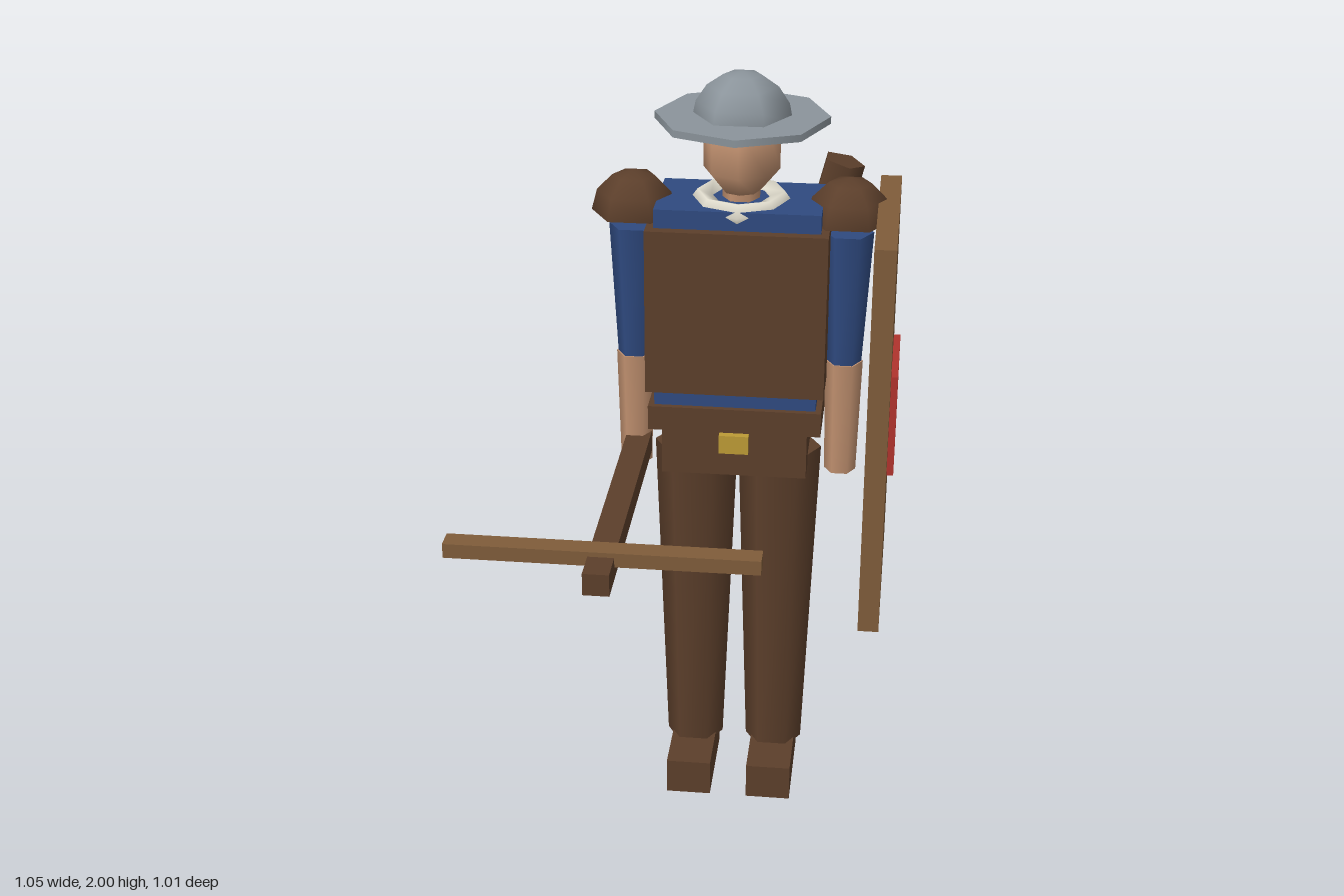
import * as THREE from 'three';

const mat = (name, color) => {
  const m = new THREE.MeshStandardMaterial({ color });
  m.name = name;
  return m;
};

export function createModel() {
  const leather = mat('brown leather', 0x5c3f2b);
  const wood = mat('light wood', 0x7f5c3a);
  const cloth = mat('blue cloth', 0x2f4a80);
  const skin = mat('skin', 0xc0906f);
  const steel = mat('steel', 0x8b949b);
  const linen = mat('linen', 0xe0dccd);
  const red = mat('red paint', 0xb0332d);
  const brass = mat('brass', 0xbc9a35);

  const model = new THREE.Group();
  model.name = 'crossbowSoldier';
  // The body stands off centre, so its parts hang from an offset group
  const body = new THREE.Group();
  body.name = 'body';
  body.position.set(0.113, 0, -0.28);
  model.add(body);

  const add = (parent, name, geometry, material, x, y, z) => {
    const mesh = new THREE.Mesh(geometry, material);
    mesh.name = name;
    mesh.position.set(x, y, z);
    parent.add(mesh);
    return mesh;
  };
  // Box given by its lower and upper limits
  const box = (parent, name, material, [x0, x1], [y0, y1], [z0, z1]) =>
    add(parent, name, new THREE.BoxGeometry(x1 - x0, y1 - y0, z1 - z0), material,
      (x0 + x1) / 2, (y0 + y1) / 2, (z0 + z1) / 2);
  // Upright tapered limb with corners pointing sideways
  const limb = (name, material, x, y0, y1, r0, r1, sides = 6) =>
    add(body, name, new THREE.CylinderGeometry(r1, r0, y1 - y0, sides, 1, false, Math.PI / 2),
      material, x, (y0 + y1) / 2, 0);
  const dome = (name, material, r, rings, x, y) =>
    add(body, name, new THREE.SphereGeometry(r, 6, rings, 0, Math.PI * 2, 0, Math.PI / 2),
      material, x, y, 0);
  const underside = (name, material, r, x, y) => {
    const disc = add(body, name, new THREE.CircleGeometry(r, 6), material, x, y, 0);
    disc.rotation.x = Math.PI / 2;
  };

  // Torso, vest and belt
  box(body, 'shirt', cloth, [-0.207, 0.207], [1.12, 1.68], [-0.12, 0.12]);
  box(body, 'vest', leather, [-0.227, 0.227], [1.2, 1.632], [-0.147, 0.147]);
  box(body, 'belt', leather, [-0.222, 0.222], [1.09, 1.155], [-0.135, 0.135]);
  box(body, 'hips', leather, [-0.187, 0.187], [0.965, 1.09], [-0.125, 0.125]);
  box(body, 'buckle', brass, [-0.038, 0.038], [1.035, 1.085], [0.1, 0.145]);

  // Collar, neck and head
  const collar = add(body, 'collar', new THREE.TorusGeometry(0.1, 0.032, 5, 8), linen, 0, 1.667, 0);
  collar.rotation.x = -Math.PI / 2;
  limb('neck', skin, 0, 1.64, 1.74, 0.047, 0.047);
  const headProfile = [[0, 1.69], [0.052, 1.7], [0.103, 1.757], [0.103, 1.88], [0, 1.9]]
    .map(([r, y]) => new THREE.Vector2(r, y));
  const head = add(body, 'head', new THREE.LatheGeometry(headProfile, 8), skin, 0, 0, 0);
  head.scale.x = 0.93;

  // Kettle helmet
  add(body, 'helmetBrim', new THREE.CylinderGeometry(0.217, 0.217, 0.018, 8), steel, 0, 1.884, 0);
  dome('helmetDome', steel, 0.125, 4, 0, 1.875);

  // Arms, shoulder guards, legs and boots on both sides
  for (const [side, s] of [['left', 1], ['right', -1]]) {
    limb(side + 'UpperArm', cloth, s * 0.27, 1.25, 1.6, 0.045, 0.064);
    limb(side + 'Forearm', skin, s * 0.27, 0.94, 1.25, 0.041, 0.049);
    dome(side + 'ShoulderGuard', leather, 0.108, 3, s * 0.27, 1.633);
    underside(side + 'ShoulderGuardBase', leather, 0.108, s * 0.27, 1.633);
    limb(side + 'Leg', leather, s * 0.11, 0.09, 1.0, 0.077, 0.109);
    box(body, side + 'Boot', leather, [s * 0.11 - 0.06, s * 0.11 + 0.06], [0, 0.1], [-0.093, 0.187]);
  }

  // Quiver slung across the back
  const quiver = add(model, 'quiver',
    new THREE.CylinderGeometry(0.055, 0.055, 0.54, 5, 1, false, Math.PI / 2),
    leather, 0.293, 1.465, -0.453);
  quiver.rotation.z = -0.25;

  // Shield carried on the left arm
  box(model, 'shield', wood, [0.455, 0.508], [0.657, 1.688], [-0.463, 0.079]);
  box(model, 'shieldEmblem', red, [0.505, 0.525], [1.037, 1.307], [-0.327, -0.055]);

  // Crossbow held in the right hand
  box(model, 'crossbowStock', leather, [-0.18, -0.116], [0.965, 1.022], [-0.28, 0.504]);
  box(model, 'crossbowBow', wood, [-0.528, 0.231], [0.997, 1.034], [0.367, 0.421]);

  return model;
}
